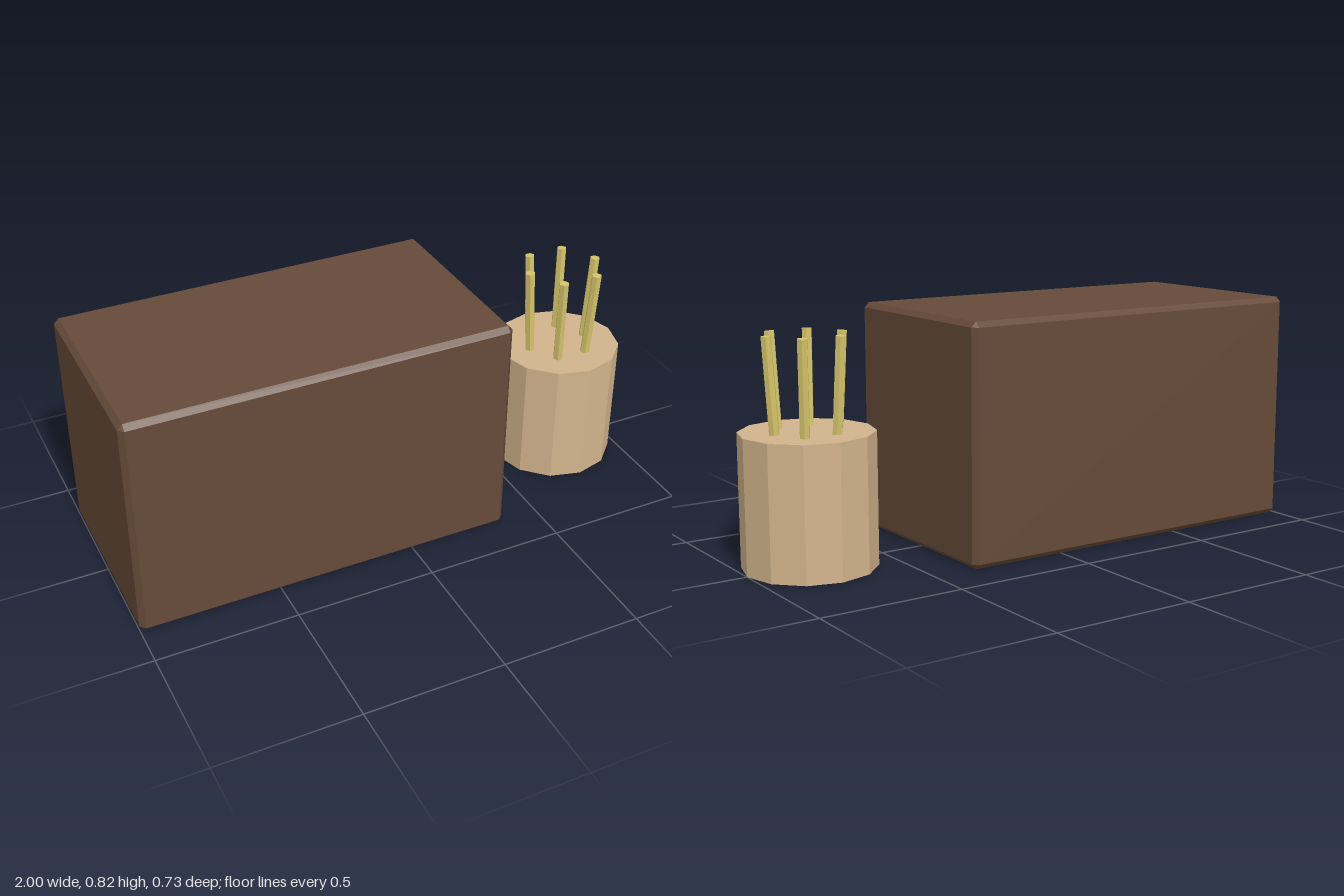
import * as THREE from 'three';
import { ConvexGeometry } from 'three/addons/geometries/ConvexGeometry.js';

const material = (name, color) =>
  Object.assign(new THREE.MeshStandardMaterial({ color, flatShading: true }), { name });

// Box with every edge and corner cut flat by c
function chamferedBox(w, h, d, c) {
  const x = w / 2, y = h / 2, z = d / 2, points = [];
  for (const sx of [-1, 1]) for (const sy of [-1, 1]) for (const sz of [-1, 1]) {
    points.push(
      new THREE.Vector3(sx * x, sy * (y - c), sz * (z - c)),
      new THREE.Vector3(sx * (x - c), sy * y, sz * (z - c)),
      new THREE.Vector3(sx * (x - c), sy * (y - c), sz * z));
  }
  return new ConvexGeometry(points);
}

export function createModel() {
  const model = new THREE.Group();
  model.name = 'blockAndStickHolder';
  const brown = material('darkBrown', 0x664a39);
  const tan = material('tan', 0xd2b48c);
  const straw = material('straw', 0xd4c36a);

  // Large block
  const block = new THREE.Mesh(chamferedBox(1.36, 0.816, 0.726, 0.018), brown);
  block.name = 'block';
  block.position.set(-0.32, 0.408, 0);
  model.add(block);

  // Twelve-sided holder
  const holder = new THREE.Group();
  holder.name = 'stickHolder';
  holder.position.x = 0.773;
  model.add(holder);
  const height = 0.454;
  const body = new THREE.Mesh(new THREE.CylinderGeometry(0.227, 0.227, height, 12), tan);
  body.name = 'holderBody';
  body.position.y = height / 2;
  holder.add(body);

  // Ring of six sticks leaning outwards
  const up = new THREE.Vector3(0, 1, 0);
  for (let i = 0; i < 6; i++) {
    const angle = i * Math.PI / 3;
    const at = (r, y) => new THREE.Vector3(r * Math.cos(angle), y, r * Math.sin(angle));
    const foot = at(0.112, 0.38), tip = at(0.136, 0.774);
    const axis = tip.clone().sub(foot);
    const geometry = new THREE.CylinderGeometry(0.018, 0.018, axis.length(), 6);
    geometry.rotateY(Math.PI / 6);
    const stick = new THREE.Mesh(geometry, straw);
    stick.name = 'stick';
    stick.position.copy(foot).add(tip).multiplyScalar(0.5);
    stick.quaternion.setFromUnitVectors(up, axis.normalize());
    holder.add(stick);
  }
  return model;
}
